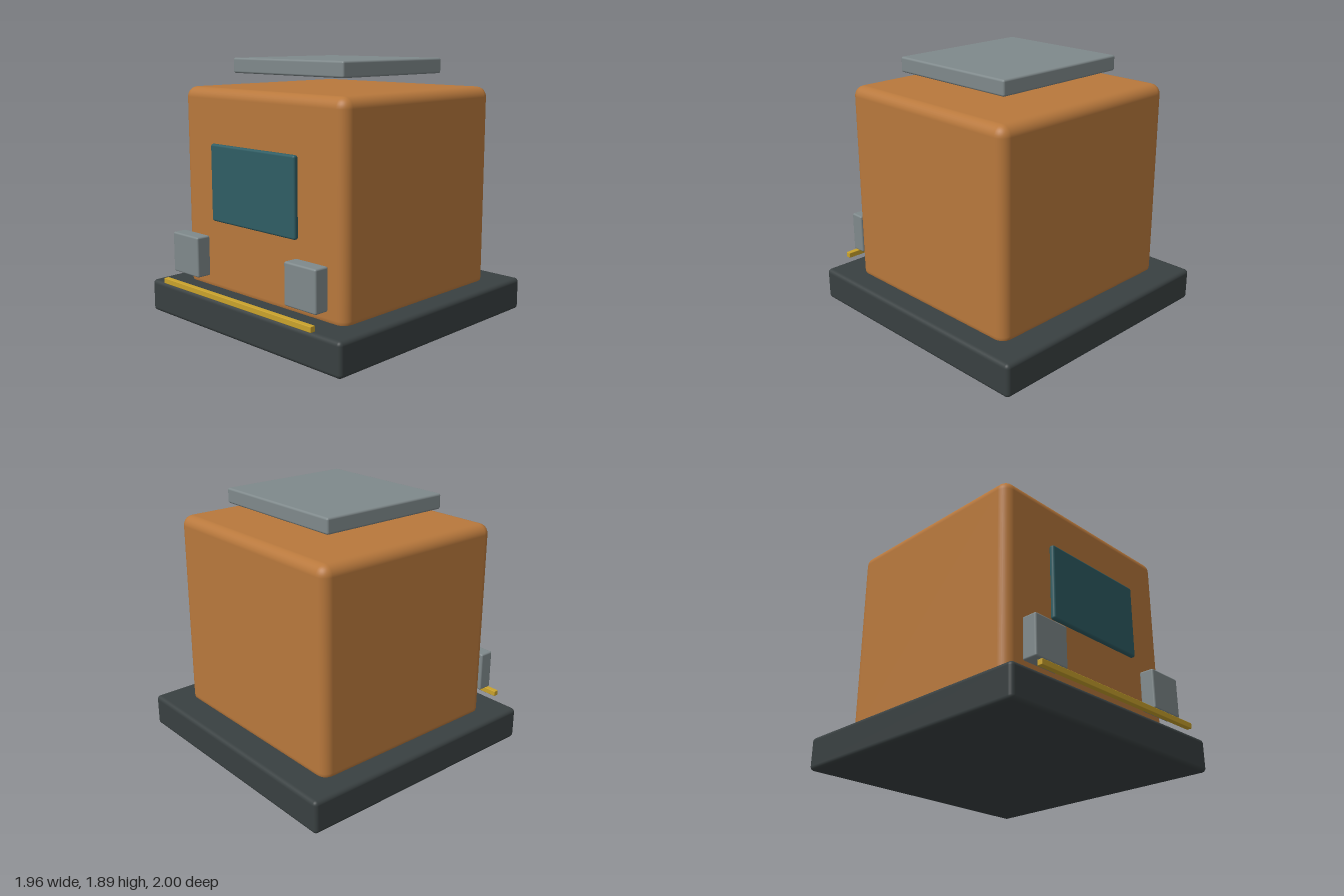
import * as THREE from 'three';
import { RoundedBoxGeometry } from 'three/addons/geometries/RoundedBoxGeometry.js';

const mat = (name, color) => {
  const m = new THREE.MeshStandardMaterial({ color });
  m.name = name;
  return m;
};

// Rounded block given by its extents along each axis
function block(name, material, [x0, x1], [y0, y1], [z0, z1], radius) {
  const geo = new RoundedBoxGeometry(x1 - x0, y1 - y0, z1 - z0, 4, radius);
  const mesh = new THREE.Mesh(geo, material);
  mesh.name = name;
  mesh.position.set((x0 + x1) / 2, (y0 + y1) / 2, (z0 + z1) / 2);
  return mesh;
}

export function createModel() {
  const group = new THREE.Group();
  group.name = 'model';

  const copper = mat('copper', 0xb8783c);
  const charcoal = mat('charcoal', 0x394041);
  const steel = mat('steel grey', 0x7f898b);
  const teal = mat('dark teal', 0x2f5d64);
  const gold = mat('gold', 0xc9a22c);

  // Plinth and main body
  group.add(block('base', charcoal, [-0.98, 0.98], [0, 0.24], [-1, 0.96], 0.03));
  group.add(block('body', copper, [-0.81, 0.81], [0.19, 1.685], [-0.785, 0.745], 0.075));

  // Plate floating above the body
  group.add(block('topPlate', steel, [-0.552, 0.552], [1.78, 1.89], [-0.535, 0.488], 0.015));

  // Front panel
  group.add(block('frontPanel', teal, [-0.428, 0.428], [0.75, 1.302], [0.77, 0.81], 0.016));

  // Pair of blocks in front of the body
  for (const [name, x] of [['leftBlock', 0.595], ['rightBlock', -0.595]]) {
    group.add(block(name, steel, [x - 0.145, x + 0.145], [0.347, 0.64], [0.816, 0.928], 0.013));
  }

  // Slim trim bar at the front edge
  group.add(block('trimBar', gold, [-0.768, 0.768], [0.26, 0.3], [0.96, 1], 0.004));

  return group;
}
